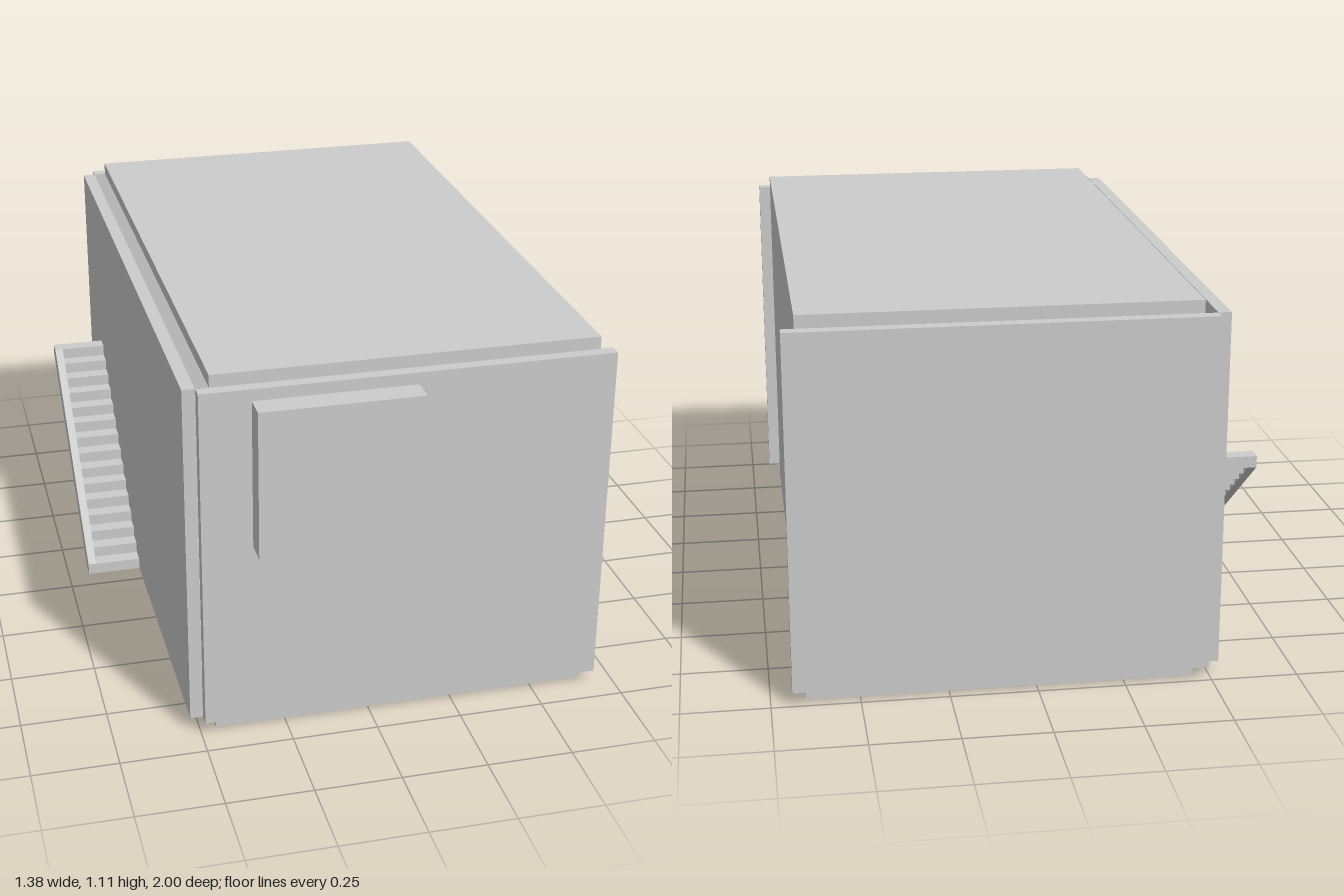
import * as THREE from 'three';

export function createModel() {
  const root = new THREE.Group();
  root.name = 'cabin';
  const panelGrey = new THREE.MeshStandardMaterial({ color: 0xcccccc });
  panelGrey.name = 'panelGrey';

  const add = (parent, name, geometry) => {
    const mesh = new THREE.Mesh(geometry, panelGrey);
    mesh.name = name;
    parent.add(mesh);
    return mesh;
  };
  // box given by its minimum and maximum corners
  const box = (parent, name, [x0, y0, z0], [x1, y1, z1]) => {
    const g = new THREE.BoxGeometry(x1 - x0, y1 - y0, z1 - z0);
    g.translate((x0 + x1) / 2, (y0 + y1) / 2, (z0 + z1) / 2);
    return add(parent, name, g);
  };
  const polygon = (points) => new THREE.Shape(points.map(([a, b]) => new THREE.Vector2(a, b)));

  // floor, side wall and roof form one C-shaped shell
  const T = 0.037, H = 1.112, X0 = -0.453, X1 = 0.653;
  const shell = new THREE.ExtrudeGeometry(polygon([
    [X0, 0], [X1, 0], [X1, H], [X0, H], [X0, H - T], [X1 - T, H - T], [X1 - T, T], [X0, T],
  ]), { depth: 1.852, bevelEnabled: false });
  shell.translate(0, 0, -0.963);
  add(root, 'floorWallAndRoof', shell);

  // wall panels
  box(root, 'frontWall', [-0.49, 0.04, 0.889], [0.69, 1.075, 0.925]);
  box(root, 'backWall', [-0.49, 0.04, -1], [0.69, 1.075, -0.963]);
  box(root, 'stairSideWall', [-0.527, 0.04, -0.963], [-0.49, 1.075, 0.887]);
  box(root, 'frontBox', [-0.345, 0.6, 0.925], [0.12, 1.04, 1]);

  // inner raised deck
  box(root, 'innerDeck', [-0.49, 0.52, 0.17], [X1 - T, 0.56, 0.885]);

  // staircase climbing towards the back
  const stairs = new THREE.Group();
  stairs.name = 'stairs';
  root.add(stairs);
  const steps = 15, run = 0.697 / steps, rise = 0.52 / steps, base = 0.04;
  const left = -0.693, right = -0.455, beam = 0.025;
  for (let i = 0; i < steps; i++) {
    box(stairs, 'step', [left + beam, base + i * rise, -(i + 1) * run],
      [right - beam, base + (i + 1) * rise, -i * run]);
  }
  const top = base + steps * rise, back = steps * run;
  for (const x of [left, right - beam]) {
    // profile runs along -z, then is turned into place
    const g = new THREE.ExtrudeGeometry(polygon([
      [0, base], [run, base], [back, top - rise], [back, top], [back - run, top], [0, base + rise],
    ]), { depth: beam, bevelEnabled: false });
    g.rotateY(Math.PI / 2);
    g.translate(x, 0, 0);
    add(stairs, 'stringer', g);
  }
  return root;
}
